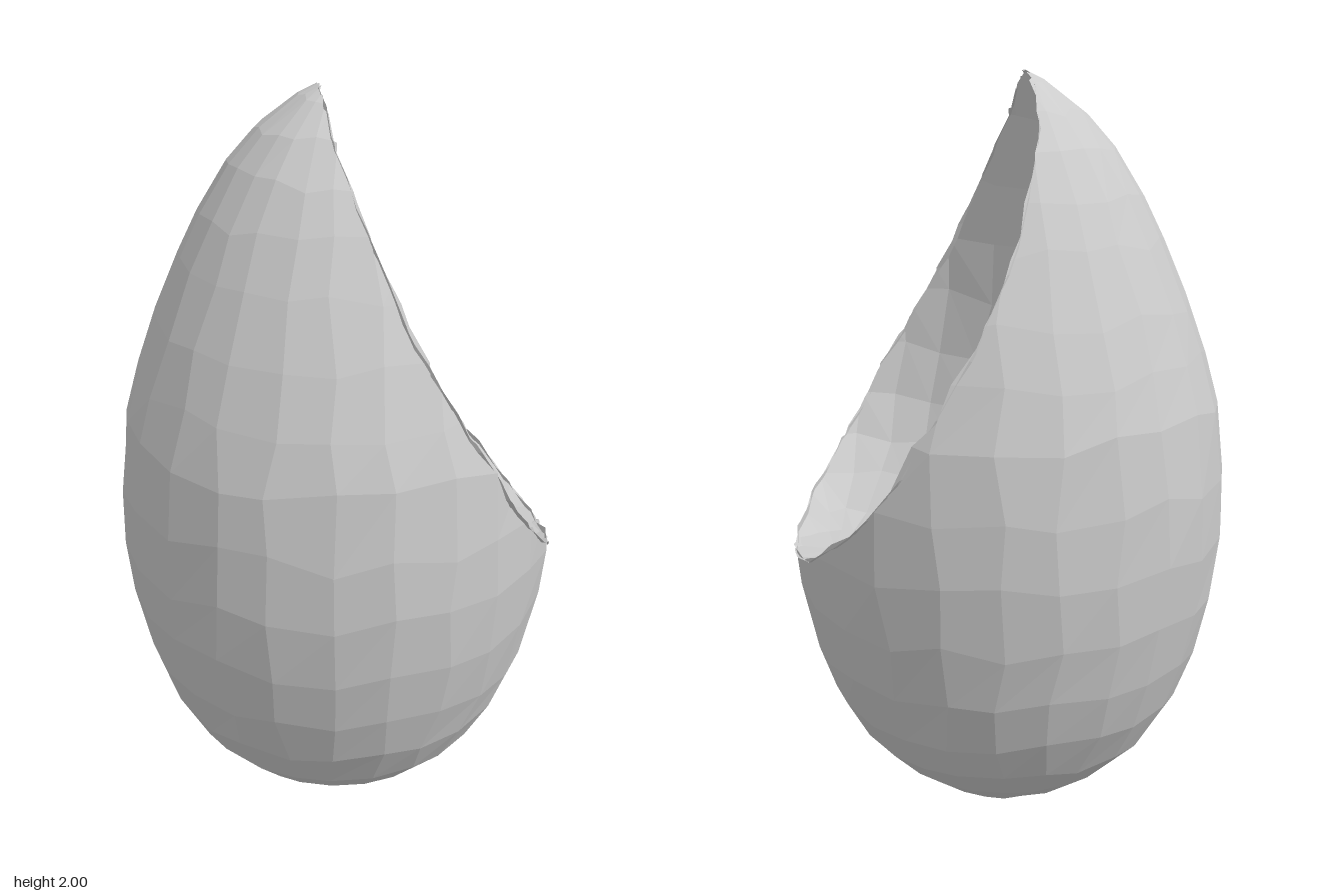
import * as THREE from 'three';

// Egg profile: [radius, height]
const PROFILE = [[0, 0], [0.12, 0.01], [0.22, 0.04], [0.33, 0.12], [0.42, 0.21], [0.49, 0.33],
  [0.54, 0.47], [0.575, 0.63], [0.593, 0.8], [0.59, 0.97], [0.57, 1.15], [0.53, 1.28], [0.48, 1.42],
  [0.41, 1.58], [0.35, 1.7], [0.28, 1.81], [0.2, 1.9], [0.1, 1.975], [0.05, 2.0], [0, 2.015]];
const SEGMENTS = 24;
// The bite is the same egg, moved up and to one side
const BITE = new THREE.Vector3(0.47, 0.73, -0.1);

function radiusAt(y) {
  for (let i = 1; i < PROFILE.length; i++) {
    const [r0, y0] = PROFILE[i - 1], [r1, y1] = PROFILE[i];
    if (y <= y1) return r0 + (r1 - r0) * (y - y0) / (y1 - y0);
  }
  return 0;
}

// Positive inside an egg standing at the given offset
function depth(p, offset) {
  const y = p.y - offset.y;
  if (y < 0) return y;
  if (y > 2.015) return 2.015 - y;
  return radiusAt(y) - Math.hypot(p.x - offset.x, p.z - offset.z);
}

function noise(a, b) {
  const s = Math.sin(a * 127.1 + b * 311.7) * 43758.5453;
  return s - Math.floor(s);
}

// Triangles of a slightly irregular egg
function eggTriangles(offset, seed) {
  const last = PROFILE.length - 1;
  const point = (ring, seg) => {
    const s = seg % SEGMENTS, pole = ring === 0 || ring === last;
    const lo = PROFILE[Math.max(ring - 1, 0)][1], hi = PROFILE[Math.min(ring + 1, last)][1];
    const y = PROFILE[ring][1] + (pole ? 0 : (noise(ring + seed, s) - 0.5) * 0.14 * (hi - lo));
    const a = (s + (noise(s, ring + seed + 7) - 0.5) * 0.25) / SEGMENTS * Math.PI * 2;
    const r = pole ? 0 : radiusAt(y);
    return new THREE.Vector3(r * Math.sin(a), y, r * Math.cos(a)).add(offset);
  };
  const triangles = [];
  for (let i = 0; i < last; i++) {
    for (let j = 0; j < SEGMENTS; j++) {
      const a = point(i, j), b = point(i, j + 1), c = point(i + 1, j + 1), d = point(i + 1, j);
      if (i > 0) triangles.push([a, b, c]);
      if (i < last - 1) triangles.push([a, c, d]);
      else triangles[triangles.length - 1] = [a, b, c];
      if (i === 0 && j >= 0) triangles[triangles.length - 1] = [a, c, d];
    }
  }
  return triangles;
}

// Keeps the part of each triangle where keep(p) > 0; ragged pushes the cut outwards unevenly
function clip(triangles, keep, ragged) {
  const cut = (inside, outside) => {
    let lo = 0, hi = 1;
    const p = new THREE.Vector3();
    for (let k = 0; k < 16; k++) {
      const mid = (lo + hi) / 2;
      if (keep(p.lerpVectors(inside, outside, mid)) > 0) lo = mid; else hi = mid;
    }
    const length = inside.distanceTo(outside);
    const extra = ragged * noise(Math.round(p.x * 500), Math.round(p.y * 500)) / Math.max(length, 0.01);
    return new THREE.Vector3().lerpVectors(inside, outside, Math.min(1, lo + extra));
  };
  const out = [];
  for (const tri of triangles) {
    const poly = [];
    tri.forEach((p, i) => {
      const q = tri[(i + 1) % 3], pIn = keep(p) > 0, qIn = keep(q) > 0;
      if (pIn) poly.push(p);
      if (pIn !== qIn) poly.push(pIn ? cut(p, q) : cut(q, p));
    });
    for (let i = 2; i < poly.length; i++) out.push([poly[0], poly[i - 1], poly[i]]);
  }
  return out;
}

function buildMesh(name, triangles) {
  const geometry = new THREE.BufferGeometry().setFromPoints(triangles.flat());
  geometry.computeVertexNormals();
  const material = new THREE.MeshStandardMaterial({
    color: 0xcccccc, flatShading: true, side: THREE.DoubleSide });
  const mesh = new THREE.Mesh(geometry, material);
  mesh.name = name;
  return mesh;
}

export function createModel() {
  const group = new THREE.Group();
  group.name = 'bittenEgg';
  const origin = new THREE.Vector3();

  // Outer skin, open where the bite was taken, with a ragged rim
  const skin = clip(eggTriangles(origin, 1), p => -depth(p, BITE), 0.022);
  group.add(buildMesh('outerSkin', skin));

  // Scooped hollow, facing inwards to the bite
  const hollow = clip(eggTriangles(BITE, 40), p => depth(p, origin), 0.006);
  group.add(buildMesh('biteHollow', hollow.map(([a, b, c]) => [a, c, b])));
  return group;
}
